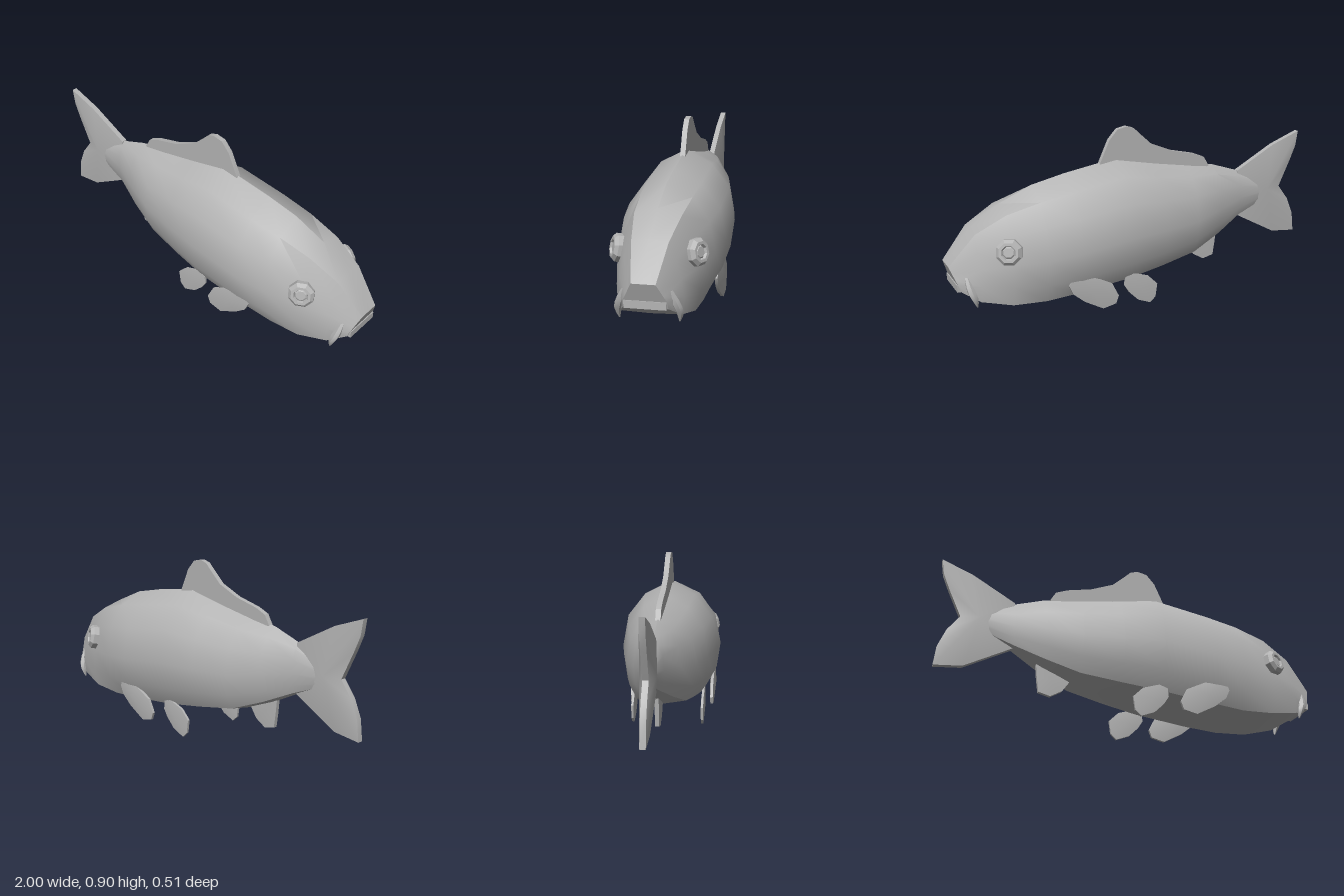
import * as THREE from 'three';
import { toCreasedNormals } from 'three/addons/utils/BufferGeometryUtils.js';

const scaleGrey = new THREE.MeshStandardMaterial({ color: 0xb4b4b4 });
scaleGrey.name = 'scaleGrey';

function add(parent, name, geometry, crease = 0.6) {
  const mesh = new THREE.Mesh(toCreasedNormals(geometry, crease), scaleGrey);
  mesh.name = name;
  parent.add(mesh);
  return mesh;
}

function fromTriangles(positions, index) {
  const g = new THREE.BufferGeometry();
  g.setAttribute('position', new THREE.Float32BufferAttribute(positions, 3));
  g.setIndex(index);
  return g;
}

// Body: half sections given as [width fraction, height fraction], top to bottom
const ROUND = [[0, 1], [0.52, 0.89], [0.88, 0.7], [1, 0.43], [0.92, 0.2], [0.71, 0.045], [0, 0]];
const SNOUT = [[0, 1], [0.55, 1], [0.7, 0.75], [0.85, 0.5], [1, 0.28], [1, 0], [0, 0]];
// x, top, bottom, half width, snout blend, forward lean of the top
const STATIONS = [
  [-0.82, 0.52, 0.42, 0.025, 0, 0],
  [-0.62, 0.59, 0.335, 0.05, 0, 0],
  [-0.47, 0.64, 0.26, 0.115, 0, 0],
  [-0.3, 0.665, 0.19, 0.172, 0, 0],
  [-0.1, 0.7, 0.155, 0.215, 0, 0],
  [0.1, 0.74, 0.125, 0.25, 0, 0],
  [0.38, 0.695, 0.095, 0.254, 0, 0],
  [0.55, 0.658, 0.085, 0.237, 0.1, 0],
  [0.72, 0.585, 0.105, 0.205, 0.45, 0],
  [0.87, 0.485, 0.145, 0.155, 0.7, 0],
  [0.955, 0.32, 0.2, 0.1, 1, 0.045],
];

function bodyGeometry() {
  const positions = [], index = [], n = 12;
  for (const [x, top, bottom, half, blend, lean] of STATIONS) {
    for (let j = 0; j < n; j++) {
      const k = j <= 6 ? j : n - j, side = j <= 6 ? 1 : -1;
      const w = THREE.MathUtils.lerp(ROUND[k][0], SNOUT[k][0], blend);
      const h = THREE.MathUtils.lerp(ROUND[k][1], SNOUT[k][1], blend);
      positions.push(x + lean * h, bottom + (top - bottom) * h, side * half * w);
    }
  }
  const last = (STATIONS.length - 1) * n;
  for (let i = 0; i < last; i += n) {
    for (let j = 0; j < n; j++) {
      const a = i + j, b = i + (j + 1) % n;
      index.push(a, b, b + n, a, b + n, a + n);
    }
  }
  for (let j = 1; j < n - 1; j++) {
    index.push(0, j + 1, j, last, last + j, last + j + 1);
  }
  return fromTriangles(positions, index);
}

// Fin with a thin rim that swells towards the point [cx, cy]
function finGeometry(outline, [cx, cy], rim, middle) {
  const pts = outline.map(([x, y]) => new THREE.Vector2(x, y));
  if (THREE.ShapeUtils.isClockWise(pts)) pts.reverse();
  const positions = [cx, cy, middle, cx, cy, -middle], index = [];
  pts.forEach((p, i) => {
    positions.push(p.x, p.y, rim, p.x, p.y, -rim);
    const a = 2 + 2 * i, b = 2 + 2 * ((i + 1) % pts.length);
    index.push(0, a, b, 1, b + 1, a + 1, a, a + 1, b + 1, a, b + 1, b);
  });
  return fromTriangles(positions, index);
}

const TAIL = [[-0.62, 0.59], [-0.84, 0.71], [-1, 0.77], [-0.988, 0.69], [-0.955, 0.61], [-0.89, 0.47],
  [-0.95, 0.39], [-0.988, 0.3], [-1, 0.195], [-0.86, 0.21], [-0.62, 0.34]];
const DORSAL = [[-0.44, 0.64], [-0.41, 0.69], [-0.35, 0.715], [-0.22, 0.745], [-0.1, 0.795], [-0.04, 0.85],
  [0, 0.888], [0.04, 0.9], [0.09, 0.89], [0.135, 0.84], [0.19, 0.72], [0.1, 0.68], [-0.3, 0.6]];
const ANAL = [[-0.5, 0.3], [-0.49, 0.2], [-0.48, 0.13], [-0.42, 0.115], [-0.36, 0.15], [-0.315, 0.215], [-0.35, 0.28]];
const PELVIC = [[-0.05, 0.1], [-0.04, 0.03], [-0.01, 0.002], [0.06, 0.03], [0.11, 0.08], [0.135, 0.12],
  [0.13, 0.165], [0.09, 0.18], [0, 0.15]];
const PECTORAL = [[0.185, 0.09], [0.2, 0.05], [0.27, 0.035], [0.37, 0.09], [0.43, 0.14], [0.45, 0.185],
  [0.43, 0.235], [0.34, 0.22], [0.22, 0.16]];

// Eight-sided eye: raised bevelled rim around a recessed centre
function eyeGeometry() {
  const profile = [[0.066, -0.02], [0.066, 0.008], [0.05, 0.024], [0.036, 0.024], [0.031, 0.012], [0.024, 0.018], [0, 0.018]]
    .map(([r, h]) => new THREE.Vector2(r, h));
  const g = new THREE.LatheGeometry(profile, 8, Math.PI / 8);
  g.rotateX(Math.PI / 2);
  return g;
}

// Whisker: tapered cylinder bent along a curve
function barbelGeometry(side) {
  const curve = new THREE.CatmullRomCurve3([[0.925, 0.275, 0.1], [0.915, 0.21, 0.128], [0.9, 0.165, 0.14], [0.89, 0.125, 0.136]]
    .map(([x, y, z]) => new THREE.Vector3(x, y, z * side)));
  const g = new THREE.CylinderGeometry(1, 1, 1, 6, 5);
  const p = g.attributes.position;
  for (let i = 0; i < p.count; i++) {
    const t = 0.5 - p.getY(i), c = curve.getPoint(t);
    const r = 0.003 + 0.018 * Math.sin(Math.PI * (0.2 + 0.8 * t));
    p.setXYZ(i, c.x + p.getX(i) * r, c.y, c.z + p.getZ(i) * r);
  }
  return g;
}

export function createModel() {
  const fish = new THREE.Group();
  fish.name = 'fish';

  add(fish, 'body', bodyGeometry());
  add(fish, 'lowerLip', new THREE.BoxGeometry(0.05, 0.035, 0.19).translate(0.948, 0.217, 0));

  // Fins on the centre line
  add(fish, 'tailFin', finGeometry(TAIL, [-0.8, 0.47], 0.014, 0.04));
  add(fish, 'analFin', finGeometry(ANAL, [-0.42, 0.2], 0.01, 0.014));
  const shape = new THREE.Shape(DORSAL.map(([x, y]) => new THREE.Vector2(x, y)));
  const dorsal = new THREE.ExtrudeGeometry(shape, { depth: 0.026, bevelEnabled: false });
  add(fish, 'dorsalFin', dorsal.translate(0, 0, -0.013));

  // Paired parts, left and right of the centre line
  for (const side of [1, -1]) {
    const label = side > 0 ? 'Near' : 'Far';
    add(fish, 'pelvicFin' + label, finGeometry(PELVIC, [0.05, 0.1], 0.006, 0.013)).position.z = 0.183 * side;
    add(fish, 'pectoralFin' + label, finGeometry(PECTORAL, [0.33, 0.145], 0.007, 0.018)).position.z = 0.218 * side;
    const eye = add(fish, 'eye' + label, eyeGeometry(), 0.4);
    eye.position.set(0.737, 0.398, 0.186 * side);
    eye.lookAt(0.737 + 0.45, 0.398 + 0.2, (0.186 + 0.87) * side);
    add(fish, 'barbel' + label, barbelGeometry(side));
  }
  return fish;
}
